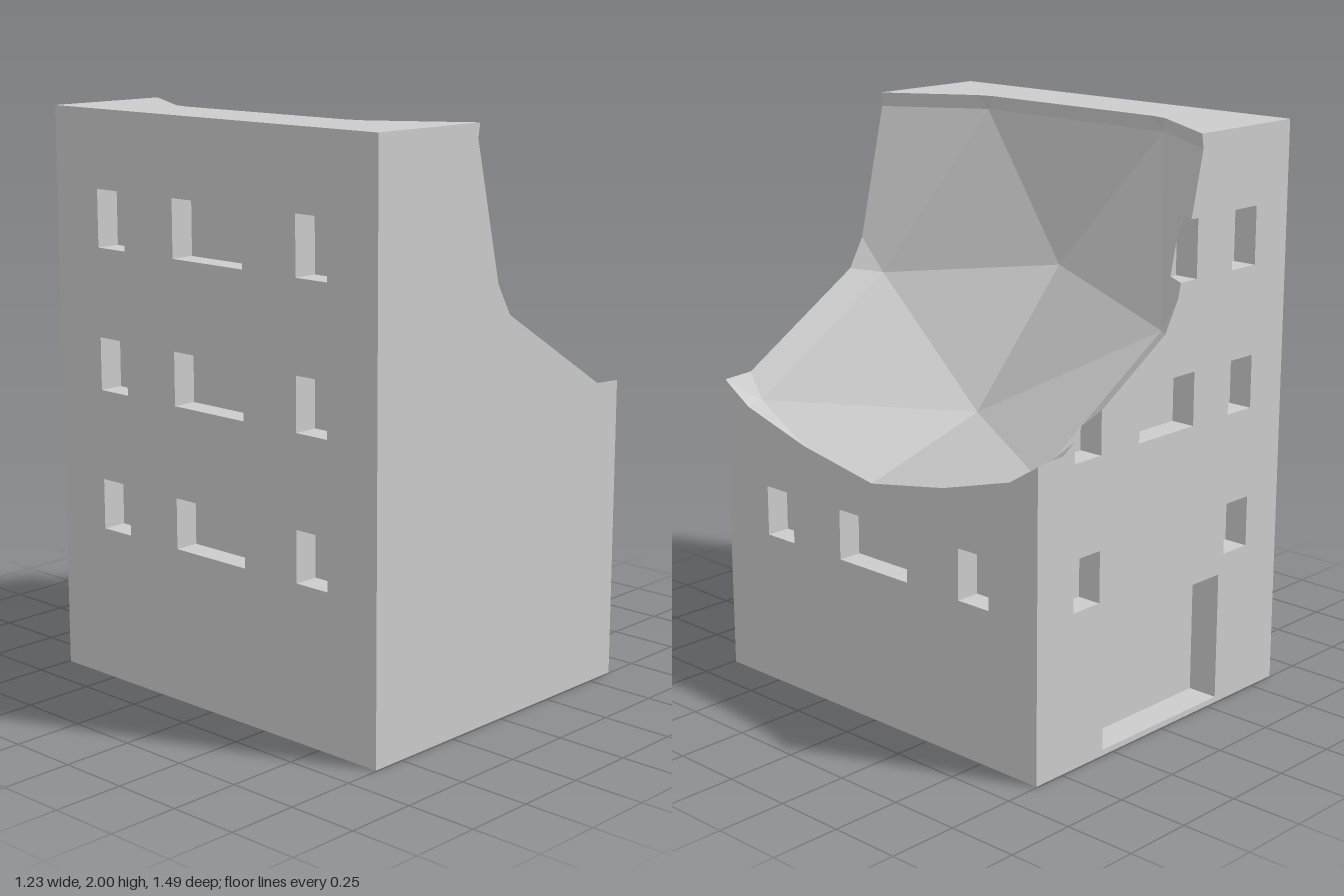
import * as THREE from 'three';

const HALF_X = 0.617, HEIGHT = 2, HALF_Z = 0.745;
const EPS = 1e-5;

// ---- convex solids as lists of flat faces ----
function facesOf(geometry, size, order) {
  const pos = geometry.attributes.position, faces = [];
  for (let i = 0; i < pos.count; i += size) {
    faces.push(order.map((k) => new THREE.Vector3().fromBufferAttribute(pos, i + k)));
  }
  const planes = faces.map((f) => new THREE.Plane().setFromCoplanarPoints(f[0], f[1], f[2]));
  return { faces, planes };
}

function boxSolid([x0, x1], [y0, y1], [z0, z1]) {
  const g = new THREE.BoxGeometry(x1 - x0, y1 - y0, z1 - z0);
  g.translate((x0 + x1) / 2, (y0 + y1) / 2, (z0 + z1) / 2);
  return facesOf(g, 4, [0, 2, 3, 1]);
}

// ---- cutting faces with planes ----
function split(face, plane) {
  const d = face.map((p) => plane.distanceToPoint(p));
  const outside = [], inside = [];
  face.forEach((p, i) => {
    const j = (i + 1) % face.length;
    if (d[i] >= -EPS) outside.push(p);
    if (d[i] <= EPS) inside.push(p);
    if ((d[i] > EPS && d[j] < -EPS) || (d[i] < -EPS && d[j] > EPS)) {
      const cut = p.clone().lerp(face[j], d[i] / (d[i] - d[j]));
      outside.push(cut);
      inside.push(cut);
    }
  });
  return [d.some((v) => v > EPS) ? outside : null, d.some((v) => v < -EPS) ? inside : null];
}

// part of a face inside a convex solid
function keepInside(face, solid) {
  for (const plane of solid.planes) {
    if (face) face = split(face, plane)[1];
  }
  return face ? [face] : [];
}

// parts of a face outside a convex solid
function keepOutside(face, solid) {
  const pieces = [];
  let rest = face;
  for (const plane of solid.planes) {
    const [out, inn] = split(rest, plane);
    if (out) pieces.push(out);
    if (!inn) return [face];
    rest = inn;
  }
  return pieces;
}

const carve = (faces, solids) =>
  solids.reduce((list, s) => list.flatMap((f) => keepOutside(f, s)), faces);
const flipped = (solid) => solid.faces.map((f) => [...f].reverse());

// ---- weld corners, then add neighbours' corners along each edge so faces meet ----
function stitch(parts) {
  const corners = new Map();
  const weld = (p) => {
    const key = p.toArray().map((v) => Math.round(v * 5000)).join();
    if (!corners.has(key)) corners.set(key, p);
    return corners.get(key);
  };
  for (const part of parts) {
    part.faces = part.faces
      .map((f) => f.map(weld).filter((p, i, a) => p !== a[(i + 1) % a.length]))
      .filter((f) => f.length > 2);
  }
  const all = [...corners.values()];
  const edge = new THREE.Line3(), near = new THREE.Vector3();
  for (const part of parts) {
    part.faces = part.faces.map((f) => f.flatMap((a, i) => {
      edge.set(a, f[(i + 1) % f.length]);
      const between = all
        .map((p) => ({ p, t: edge.closestPointToPointParameter(p, false) }))
        .filter(({ p, t }) => t > 0 && t < 1 && p !== edge.start && p !== edge.end &&
          edge.at(t, near).distanceTo(p) < 2e-4)
        .sort((m, n) => m.t - n.t);
      return [a, ...between.map((b) => b.p)];
    }));
  }
}

function toMesh({ name, faces }) {
  const pts = [];
  for (const f of faces) {
    if (f.length === 3) { pts.push(...f); continue; }
    const mid = f.reduce((s, p) => s.add(p), new THREE.Vector3()).divideScalar(f.length);
    f.forEach((p, i) => pts.push(mid, p, f[(i + 1) % f.length]));
  }
  const g = new THREE.BufferGeometry().setFromPoints(pts);
  g.computeVertexNormals();
  const mesh = new THREE.Mesh(g, new THREE.MeshStandardMaterial({ color: 0xcccccc, flatShading: true }));
  mesh.name = name;
  return mesh;
}

export function createModel() {
  const block = boxSolid([-HALF_X, HALF_X], [0, HEIGHT], [-HALF_Z, HALF_Z]);

  // faceted ball that bites away the upper corner
  const ball = new THREE.IcosahedronGeometry(1, 1);
  ball.rotateZ(-Math.atan2(1, (1 + Math.sqrt(5)) / 2));
  ball.scale(1.13, 1.13, 1.32);
  ball.translate(0.71, 1.95, 0);
  const bite = facesOf(ball, 3, [0, 1, 2]);

  // window recesses: three floors, narrow - wide - narrow
  const floors = [[0.54, 0.718], [1.035, 1.22], [1.53, 1.73]];
  const depth = 0.087, over = 0.05;
  const sideSpans = [[-0.535, -0.4], [-0.163, 0.163], [0.4, 0.535]];
  const backSpans = [[-0.447, -0.323], [-0.138, 0.138], [0.323, 0.447]];
  const windows = [];
  floors.forEach((y, level) => {
    for (const z of sideSpans) {
      windows.push(boxSolid([-HALF_X - over, -HALF_X + depth], y, z));
      if (level === 0) windows.push(boxSolid([HALF_X - depth, HALF_X + over], y, z));
    }
    backSpans.forEach((x, i) => {
      if (level === 0 && i === 1) return; // the gate takes this place
      windows.push(boxSolid(x, y, [-HALF_Z - over, -HALF_Z + depth]));
    });
  });

  // wide gate recess in the back wall
  const gate = boxSolid([-0.298, 0.298], [0.02, 0.472], [-HALF_Z - over, -HALF_Z + 0.11]);

  const recess = (solid) =>
    carve(flipped(solid).flatMap((f) => keepInside(f, block)), [bite]);

  const parts = [
    { name: 'walls', faces: carve(block.faces, [bite, ...windows, gate]) },
    { name: 'crater', faces: carve(flipped(bite).flatMap((f) => keepInside(f, block)), windows) },
    { name: 'windowRecesses', faces: windows.flatMap(recess) },
    { name: 'gateRecess', faces: recess(gate) },
  ];
  stitch(parts);

  const group = new THREE.Group();
  group.name = 'ruinedBuilding';
  group.add(...parts.map(toMesh));
  return group;
}
